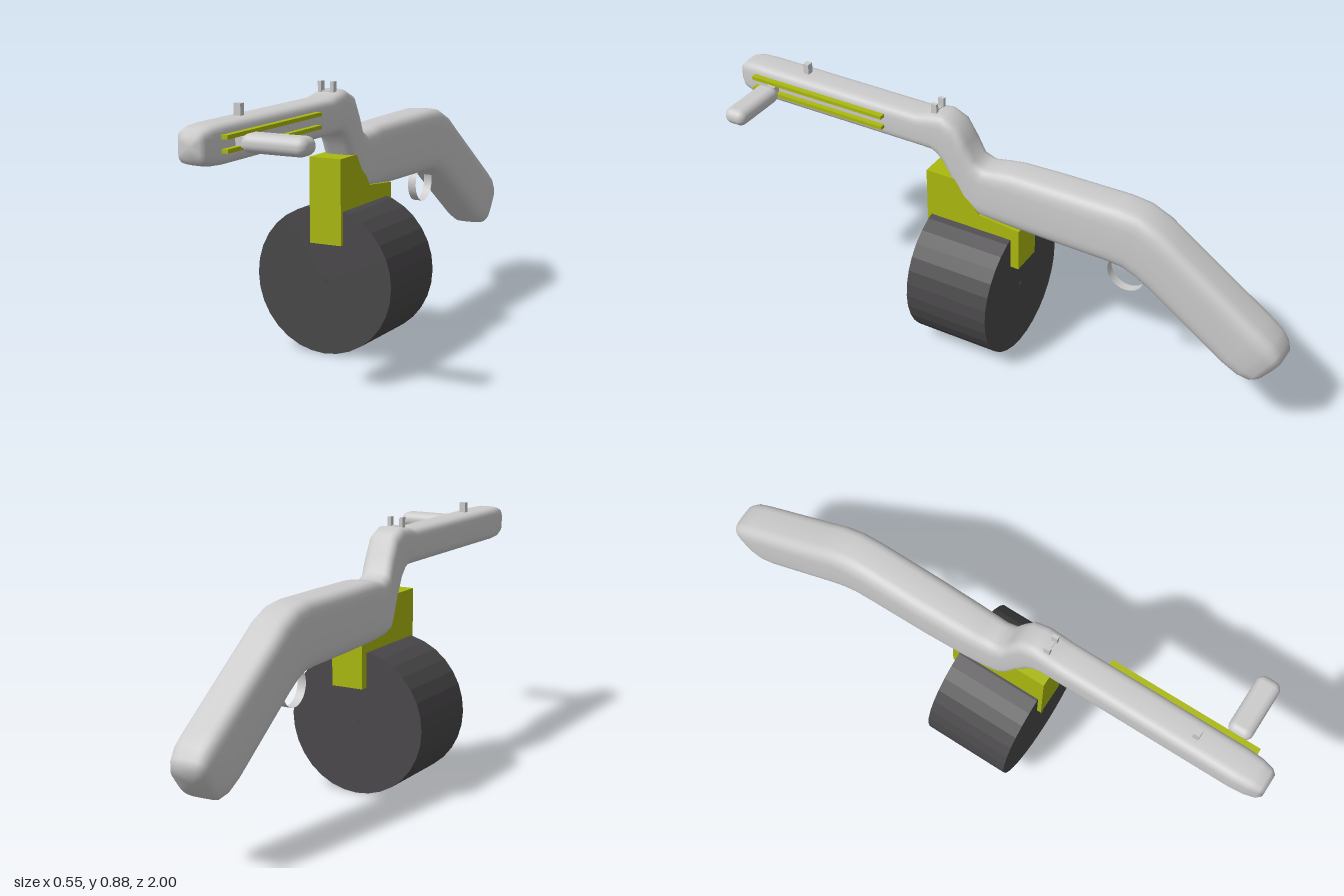
import * as THREE from 'three';
import { RoundedBoxGeometry } from 'three/addons/geometries/RoundedBoxGeometry.js';

const grey = new THREE.MeshStandardMaterial({ color: 0xcccccc });
const lime = new THREE.MeshStandardMaterial({ color: 0xabb90f });
const dark = new THREE.MeshStandardMaterial({ color: 0x4a484a, flatShading: true });
const band = new THREE.MeshStandardMaterial({ color: 0xcccccc, side: THREE.DoubleSide });

// Skin rounded-rectangle sections: [topZ, topY, bottomZ, bottomY, centreX, halfWidth]
function loft(sections, sides = 32) {
  const pos = [], index = [];
  const soft = (v) => Math.sign(v) * Math.sqrt(Math.abs(v));
  for (const [tz, ty, bz, by, cx, hw] of sections) {
    for (let k = 0; k < sides; k++) {
      const a = (k / sides) * Math.PI * 2, s = soft(Math.sin(a));
      pos.push(cx + hw * soft(Math.cos(a)),
        (ty + by) / 2 + s * (ty - by) / 2,
        (tz + bz) / 2 + s * (tz - bz) / 2);
    }
  }
  const rings = sections.length;
  for (let i = 0; i < rings - 1; i++) {
    for (let k = 0; k < sides; k++) {
      const k1 = (k + 1) % sides;
      const a = i * sides + k, b = i * sides + k1, c = a + sides, d = b + sides;
      index.push(a, c, b, b, c, d);
    }
  }
  // End caps
  [0, rings - 1].forEach((r, end) => {
    const centre = pos.length / 3, [tz, ty, bz, by, cx] = sections[r];
    pos.push(cx, (ty + by) / 2, (tz + bz) / 2);
    for (let k = 0; k < sides; k++) {
      const a = r * sides + k, b = r * sides + (k + 1) % sides;
      index.push(centre, end ? b : a, end ? a : b);
    }
  });
  const g = new THREE.BufferGeometry();
  g.setAttribute('position', new THREE.Float32BufferAttribute(pos, 3));
  g.setIndex(index);
  g.computeVertexNormals();
  return g;
}

export function createModel() {
  const model = new THREE.Group();
  const add = (name, geometry, material, x = 0, y = 0, z = 0) => {
    const m = new THREE.Mesh(geometry, material);
    m.name = name;
    m.position.set(x, y, z);
    model.add(m);
    return m;
  };
  const box = (name, material, x0, x1, y0, y1, z0, z1) =>
    add(name, new THREE.BoxGeometry(x1 - x0, y1 - y0, z1 - z0), material,
      (x0 + x1) / 2, (y0 + y1) / 2, (z0 + z1) / 2);

  // Barrel, stepped neck and drooping stock in one skin
  const B = -0.017, S = -0.031;
  add('body', loft([
    [1.0, 0.812, 1.0, 0.748, B, 0.034],
    [0.985, 0.828, 0.985, 0.732, B, 0.046],
    [0.95, 0.836, 0.95, 0.723, B, 0.054],
    [0.9, 0.838, 0.9, 0.72, B, 0.058],
    [0.3, 0.838, 0.27, 0.72, B, 0.058],
    [0.25, 0.848, 0.235, 0.718, B, 0.058],
    [0.2, 0.855, 0.215, 0.705, B, 0.058],
    [0.15, 0.833, 0.19, 0.672, B, 0.058],
    [0.115, 0.775, 0.155, 0.605, -0.019, 0.058],
    [0.09, 0.717, 0.12, 0.54, -0.022, 0.06],
    [0.05, 0.698, 0.1, 0.52, -0.025, 0.063],
    [0.0, 0.706, 0.05, 0.511, -0.028, 0.066],
    [-0.05, 0.712, -0.02, 0.507, -0.03, 0.069],
    [-0.2, 0.714, -0.18, 0.504, S, 0.073],
    [-0.43, 0.716, -0.39, 0.5, S, 0.074],
    [-0.5, 0.708, -0.45, 0.495, S, 0.074],
    [-0.57, 0.676, -0.495, 0.477, S, 0.074],
    [-0.63, 0.632, -0.54, 0.45, S, 0.074],
    [-0.92, 0.427, -0.81, 0.258, S, 0.074],
    [-0.965, 0.393, -0.86, 0.23, S, 0.072],
    [-0.99, 0.36, -0.9, 0.222, S, 0.066],
    [-1.0, 0.33, -0.925, 0.232, S, 0.056],
  ]), grey);

  // Drum, with a small hub pin flush with both faces
  const drum = add('drum', new THREE.CylinderGeometry(0.242, 0.242, 0.3, 32), dark, -0.035, 0.243, 0.09);
  drum.rotation.x = Math.PI / 2;
  const pin = add('hubPin', new THREE.CylinderGeometry(0.011, 0.011, 0.303, 16), dark, -0.035, 0.243, 0.09);
  pin.rotation.x = Math.PI / 2;

  // Bracket saddle straddling the drum: side outline (z, y) extruded across x
  const outline = new THREE.Shape([
    [0.255, 0.365], [0.255, 0.642], [0.14, 0.642], [0.06, 0.53], [-0.09, 0.515],
    [-0.09, 0.365], [-0.055, 0.365], [-0.055, 0.46], [0.235, 0.46], [0.235, 0.365],
  ].map(([z, y]) => new THREE.Vector2(-z, y)));
  const bracket = add('bracket',
    new THREE.ExtrudeGeometry(outline, { depth: 0.112, bevelEnabled: false }), lime, -0.075);
  bracket.rotation.y = Math.PI / 2;

  // Twin slide rails and the side handle that rides between them
  for (const y of [0.765, 0.804]) box('slideRail', lime, 0.036, 0.059, y - 0.006, y + 0.006, 0.41, 0.925);
  box('handleStem', grey, 0.03, 0.08, 0.768, 0.797, 0.83, 0.86);
  add('sideHandle', new RoundedBoxGeometry(0.209, 0.055, 0.08, 6, 0.026), grey, 0.17, 0.782, 0.845);

  // Front sight post and notched rear sight
  box('frontSight', grey, -0.03, -0.007, 0.82, 0.873, 0.737, 0.757);
  for (const x of [-0.041, 0.003]) box('rearSightPost', grey, x - 0.006, x + 0.006, 0.825, 0.882, 0.228, 0.248);
  box('rearSightBar', grey, -0.041, 0.003, 0.825, 0.853, 0.234, 0.242);

  // Thin hoop under the bend of the stock
  const hoop = add('guardHoop',
    new THREE.CylinderGeometry(0.065, 0.065, 0.03, 32, 1, true), band, -0.031, 0.45, -0.45);
  hoop.rotation.z = Math.PI / 2;

  return model;
}
